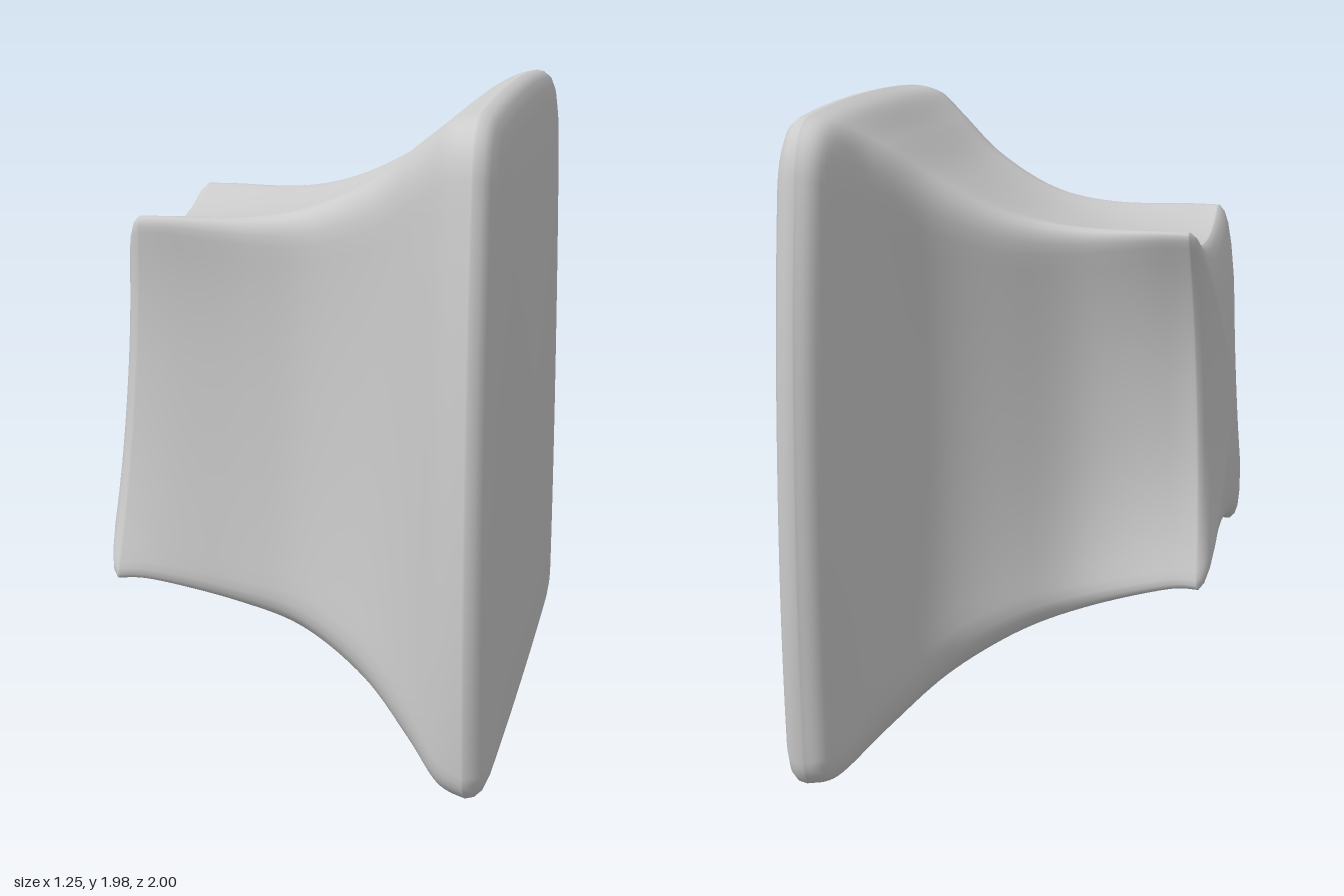
import * as THREE from 'three';

// Cross-sections along x:
// x, yBottom, yTop, zBack top, zBack bottom, zFront top, zFront bottom,
// hollows (bottom, front, top, back), corner trim bottom, corner trim top
const STATIONS = [
  [-0.55, 0.485, 1.62, -0.40, -0.40, 0.44, 0.60, 0.10, 0.08, 0.10, 0.13, 0.08, 0.07],
  [-0.45, 0.48, 1.62, -0.39, -0.39, 0.45, 0.58, 0.09, 0.07, 0.09, 0.12, 0.08, 0.07],
  [-0.20, 0.41, 1.625, -0.38, -0.39, 0.46, 0.54, 0.06, 0.045, 0.06, 0.08, 0.10, 0.10],
  [0.00, 0.34, 1.665, -0.45, -0.47, 0.50, 0.56, 0.04, 0.035, 0.04, 0.05, 0.13, 0.13],
  [0.20, 0.23, 1.765, -0.57, -0.59, 0.62, 0.67, 0.03, 0.03, 0.03, 0.03, 0.15, 0.16],
  [0.35, 0.115, 1.87, -0.73, -0.76, 0.76, 0.81, 0.01, 0.00, 0.01, 0.00, 0.14, 0.16],
  [0.45, 0.04, 1.93, -0.88, -0.93, 0.86, 0.92, -0.01, -0.04, -0.02, -0.05, 0.10, 0.15],
  [0.53, 0.025, 1.945, -0.90, -0.95, 0.90, 0.97, -0.02, -0.06, -0.035, -0.07, 0.08, 0.15],
];
const EDGE = 22, CORNER = 6;

// Smooth blend through the stations
function sectionAt(t) {
  const f = t * (STATIONS.length - 1);
  const i = Math.min(Math.floor(f), STATIONS.length - 2), u = f - i;
  const at = (k) => STATIONS[Math.max(0, Math.min(STATIONS.length - 1, k))];
  return STATIONS[i].map((p1, k) => {
    const p0 = at(i - 1)[k], p2 = at(i + 1)[k], p3 = at(i + 2)[k];
    return 0.5 * (2 * p1 + (p2 - p0) * u + (2 * p0 - 5 * p1 + 4 * p2 - p3) * u * u
      + (3 * p1 - p0 - 3 * p2 + p3) * u * u * u);
  });
}

// Four bowed edges joined by rounded corners, as (z, y) points
function outline([, yb, yt, zbt, zbb, zft, zfb, b0, b1, b2, b3, rb, rt]) {
  const c = [[zbb, yb], [zfb, yb], [zft, yt], [zbt, yt]].map((p) => new THREE.Vector2(...p));
  const bows = [b0, b1, b2, b3], trims = [rb, rb, rt, rt];
  const edgePoint = (k, u) => {
    const a = c[k % 4], d = c[(k + 1) % 4].clone().sub(a);
    const n = new THREE.Vector2(-d.y, d.x).normalize();
    const bow = bows[k % 4] * (1 - Math.abs(2 * u - 1) ** 2.2);
    return a.clone().addScaledVector(d, u).addScaledVector(n, bow);
  };
  const trim = (corner, k) => trims[corner % 4] / c[k % 4].distanceTo(c[(k + 1) % 4]);
  const pts = [];
  for (let k = 0; k < 4; k++) {
    const u0 = trim(k, k), u1 = 1 - trim(k + 1, k);
    for (let j = 0; j < EDGE; j++) pts.push(edgePoint(k, u0 + (u1 - u0) * j / EDGE));
    const next = edgePoint(k + 1, trim(k + 1, k + 1));
    const curve = new THREE.QuadraticBezierCurve(edgePoint(k, u1), c[(k + 1) % 4], next);
    for (let j = 0; j < CORNER; j++) pts.push(curve.getPoint(j / CORNER));
  }
  return pts;
}

// One ring of the loft; scale shrinks it towards its middle, tilt slants it
function ring(section, x, scale, tilt) {
  const cy = (section[1] + section[2]) / 2, cz = (section[3] + section[6]) / 2;
  return outline(section).map((p) => {
    const y = cy + (p.y - cy) * scale, z = cz + (p.x - cz) * scale;
    return [x + tilt * (y - 1.05 - 0.9 * (z - 0.08)), y, z];
  });
}

function loft(rings) {
  const n = rings[0].length, index = [];
  for (let i = 0; i < rings.length - 1; i++) {
    for (let j = 0; j < n; j++) {
      const a = i * n + j, b = i * n + (j + 1) % n;
      index.push(a, a + n, b, b, a + n, b + n);
    }
  }
  const g = new THREE.BufferGeometry();
  g.setAttribute('position', new THREE.Float32BufferAttribute(rings.flat(2), 3));
  g.setIndex(index);
  g.computeVertexNormals();
  return g;
}

export function createModel() {
  const group = new THREE.Group();
  group.name = 'flaredBlock';
  const rings = [];
  const first = STATIONS[0], last = STATIONS[STATIONS.length - 1];

  // Small end face, slightly domed and tilted
  for (const [x, s] of [[-0.618, 0], [-0.615, 0.3], [-0.605, 0.6], [-0.592, 0.79], [-0.58, 0.9], [-0.567, 0.965]]) {
    rings.push(ring(first, x, s, 0.035));
  }
  // Gently hollowed flaring sides
  const steps = 56;
  for (let i = 0; i <= steps; i++) {
    const s = sectionAt(i / steps);
    rings.push(ring(s, s[0], 1, 0.035 * (1 - i / steps)));
  }
  // Broad end face with a soft rim
  for (const [x, s] of [[0.555, 0.995], [0.576, 0.978], [0.591, 0.947], [0.602, 0.89], [0.614, 0.68], [0.621, 0.35], [0.622, 0]]) {
    rings.push(ring(last, x, s, 0));
  }

  const mesh = new THREE.Mesh(loft(rings), new THREE.MeshStandardMaterial({ color: 0xcccccc }));
  mesh.name = 'flaredBody';
  group.add(mesh);
  return group;
}
